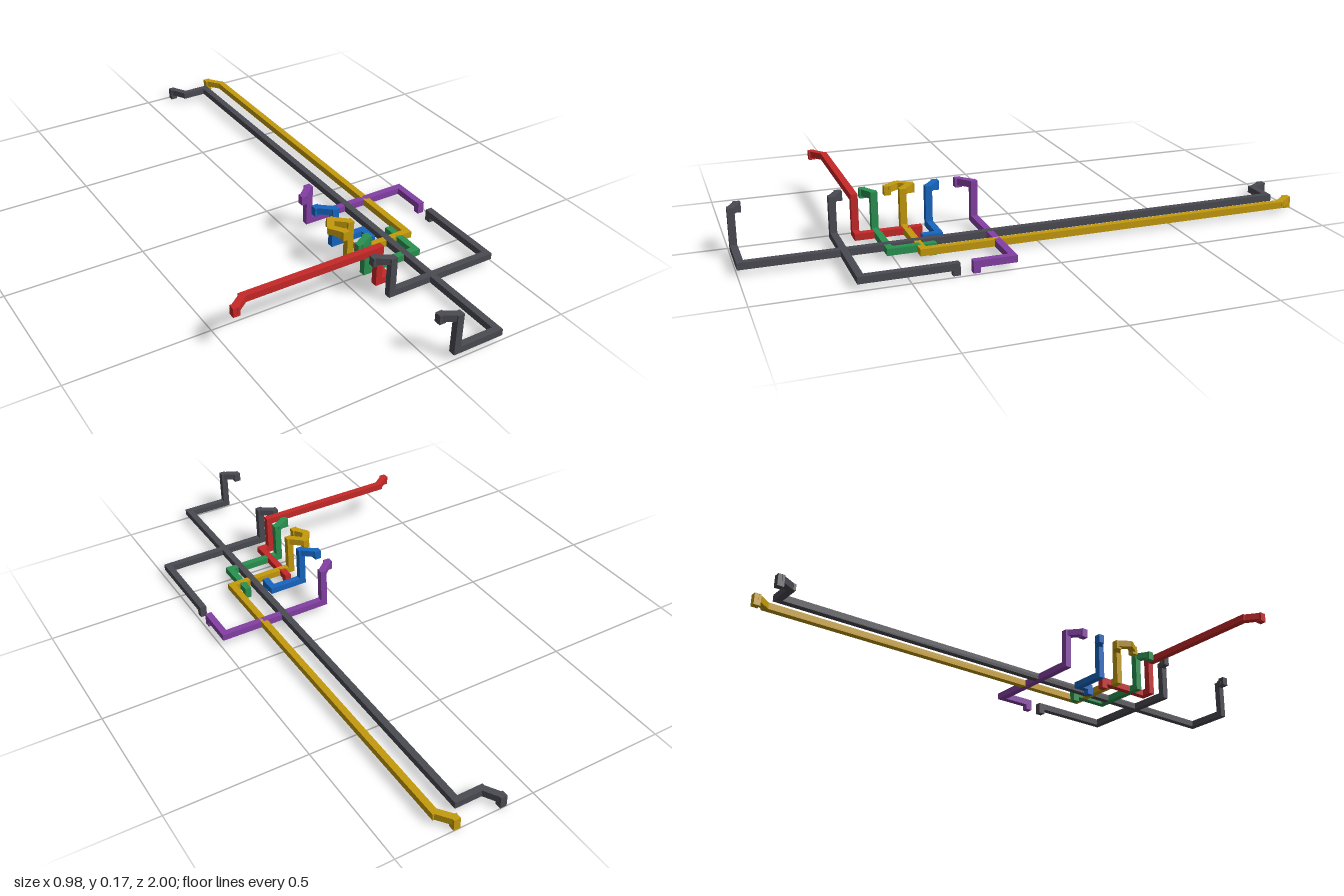
import * as THREE from 'three';

const T = 0.024;      // square wire thickness
const HIGH = 0.157;   // upper run height
const LOW = 0.03;     // lower run height
const DROP = 0.136;   // bottom of the short stubs on the upper run

const mat = (name, color) => new THREE.MeshStandardMaterial({ name, color });

// One straight square bar; e0 and e1 lengthen its ends to fill the corners
function bar(a, b, material, e0, e1) {
  const dir = b.clone().sub(a).normalize();
  const p = a.clone().addScaledVector(dir, -e0);
  const q = b.clone().addScaledVector(dir, e1);
  const len = p.distanceTo(q);
  const vertical = Math.abs(dir.y) > 0.5;
  const geo = vertical ? new THREE.BoxGeometry(T, len, T) : new THREE.BoxGeometry(T, T, len);
  const mesh = new THREE.Mesh(geo, material);
  mesh.position.copy(p).add(q).multiplyScalar(0.5);
  if (!vertical) mesh.rotation.y = Math.atan2(dir.x, dir.z);
  return mesh;
}

// A wire: upper run in [x, z], riser, lower run in [x, z], with stubs at its ends
function wire(name, material, upper, lower, extraStub, lift = 0) {
  const g = new THREE.Group();
  g.name = name;
  const up = upper.map(([x, z]) => new THREE.Vector3(x, HIGH, z));
  const riser = up[up.length - 1];
  const low = [[riser.x, riser.z], ...lower].map(([x, z]) => new THREE.Vector3(x, LOW + lift, z));
  const path = [
    new THREE.Vector3(up[0].x, DROP, up[0].z), ...up, ...low,
    new THREE.Vector3(low[low.length - 1].x, 0, low[low.length - 1].z),
  ];
  const last = path.length - 2;
  for (let i = 0; i <= last; i++) {
    const d = path[i + 1].clone().sub(path[i]);
    const diagonal = Math.abs(d.x) > 0.001 && Math.abs(d.z) > 0.001;
    const ext = diagonal ? T * 0.2 : T / 2;
    const m = bar(path[i], path[i + 1], material, i === 0 ? 0 : ext, i === last ? 0 : ext);
    m.name = name + 'Segment' + i;
    g.add(m);
  }
  // additional downward stub part way along the upper run
  if (extraStub !== undefined) {
    const p = up[extraStub];
    const m = bar(new THREE.Vector3(p.x, DROP, p.z), p, material, 0, T / 2);
    m.name = name + 'Stub';
    g.add(m);
  }
  return g;
}

export function createModel() {
  const red = mat('red', 0xc62828);
  const dark = mat('darkGrey', 0x4a4a52);
  const yellow = mat('yellow', 0xc49a0c);
  const green = mat('green', 0x2a9150);
  const blue = mat('blue', 0x1766c0);
  const purple = mat('purple', 0x8440a4);

  const model = new THREE.Group();
  model.name = 'wiring';
  model.add(
    wire('longDarkWire', dark, [[0.028, 0.962], [0.075, 0.988]],
      [[0.24, 0.988], [0.24, -0.932], [0.147, -0.932], [0.113, -0.988]], undefined, 0.0006),
    wire('shortDarkWire', dark, [[0.028, 0.625], [0.075, 0.657]], [[0.477, 0.657], [0.477, 0.35]]),
    wire('redWire', red, [[-0.48, 0.62], [-0.43, 0.582], [0.075, 0.582]],
      [[0.113, 0.582], [0.113, 0.37]]),
    wire('greenWire', green, [[0.028, 0.541], [0.075, 0.514]], [[0.283, 0.514], [0.283, 0.37]]),
    wire('yellowWire', yellow, [[0.028, 0.455], [0, 0.413], [0.028, 0.372], [0.075, 0.413]],
      [[0.323, 0.413], [0.323, -0.935], [0.283, -0.988]], 2),
    wire('blueWire', blue, [[0.028, 0.283], [0.075, 0.322]], [[0.198, 0.322], [0.198, 0.37]]),
    wire('purpleWire', purple, [[0.028, 0.2], [0.075, 0.158]], [[0.477, 0.158], [0.477, 0.283]]),
  );
  return model;
}
